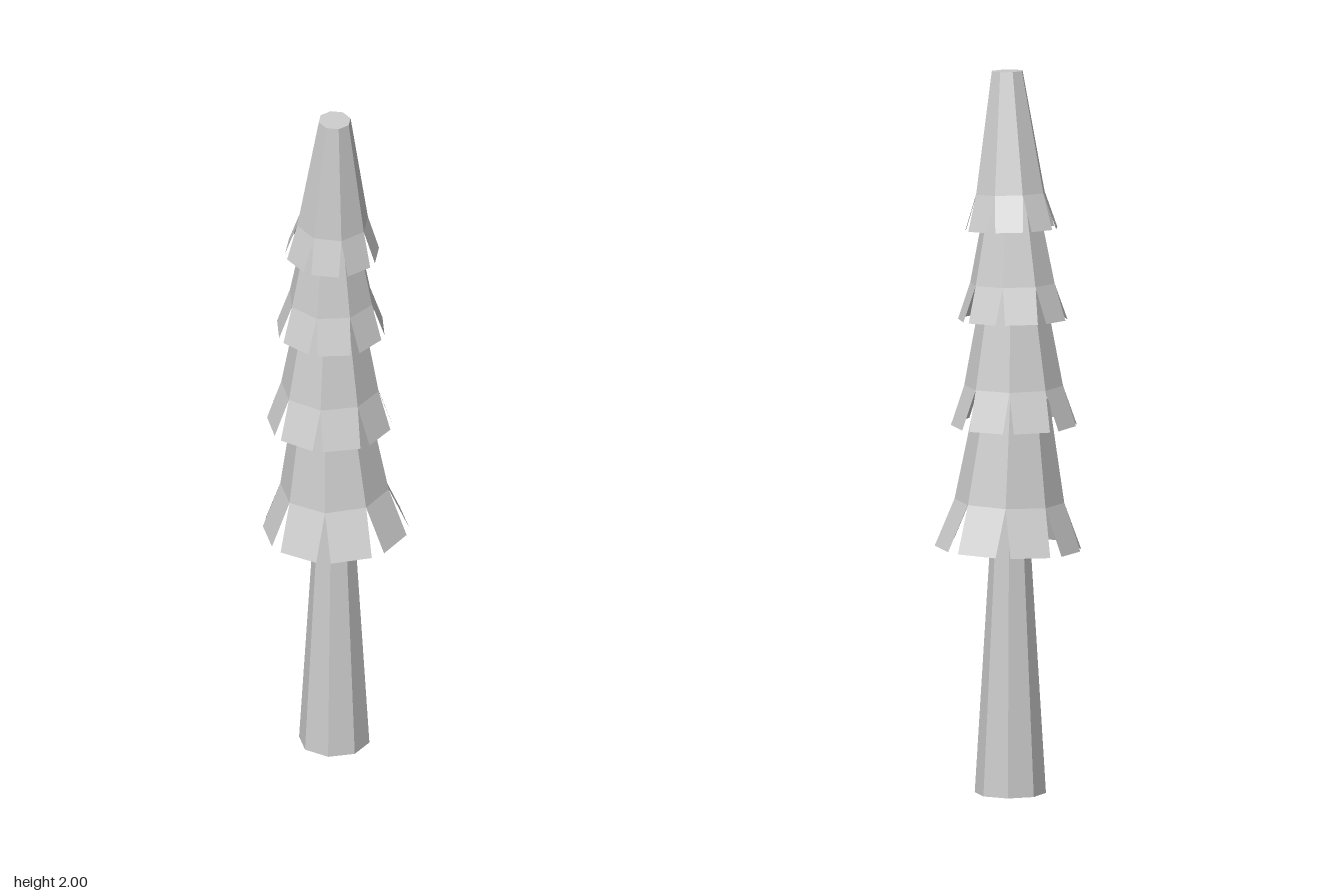
import * as THREE from 'three';
import { mergeGeometries } from 'three/addons/utils/BufferGeometryUtils.js';

const SIDES = 8;
const rad = THREE.MathUtils.degToRad;
const material = new THREE.MeshStandardMaterial({ color: 0xcccccc, flatShading: true, side: THREE.DoubleSide });

// Place a mesh built upwards from its origin along the line from a to b
function alignTo(object, a, b) {
  const dir = new THREE.Vector3().subVectors(b, a).normalize();
  object.position.copy(a);
  object.quaternion.setFromUnitVectors(new THREE.Vector3(0, 1, 0), dir);
}

// Tapered octagon; 'turn' is the direction (degrees from +x towards +z) one side faces
function taper(rTop, rBottom, y0, y1, turn) {
  const g = new THREE.CylinderGeometry(rTop, rBottom, y1 - y0, SIDES, 1, false, rad(90 - turn - 180 / SIDES));
  return g.translate(0, (y0 + y1) / 2, 0);
}

// One thin flap bending outwards from a side of the body
function flap(rBend, rOut, drop, turn) {
  const half = rBend * Math.sin(Math.PI / SIDES);
  const inner = rBend * Math.cos(Math.PI / SIDES);
  const g = new THREE.PlaneGeometry(2 * half, drop);
  const p = g.attributes.position;
  for (let i = 0; i < p.count; i++) {
    const top = p.getY(i) > 0;
    p.setY(i, top ? drop : 0);
    p.setZ(i, top ? inner : rOut);
  }
  g.rotateY(rad(90 - turn));
  g.computeVertexNormals();
  return g;
}

function foliageTier({ bottom, top, rTop, rBend, rOut, drop, turn }) {
  const a = new THREE.Vector3(...bottom);
  const b = new THREE.Vector3(...top);
  const parts = [taper(rTop, rBend, drop, a.distanceTo(b), turn)];
  for (let i = 0; i < SIDES; i++) parts.push(flap(rBend, rOut, drop, turn + i * 360 / SIDES));
  const mesh = new THREE.Mesh(mergeGeometries(parts), material);
  alignTo(mesh, a, b);
  return mesh;
}

export function createModel() {
  const tree = new THREE.Group();
  tree.name = 'tree';

  // Tapered trunk, running up into the lowest tier
  const trunk = new THREE.Mesh(taper(0.04, 0.098, 0, 0.95, 12), material);
  trunk.name = 'trunk';
  trunk.position.set(-0.01, 0, -0.011);
  tree.add(trunk);

  // Foliage tiers from lowest to highest, each leaning a little differently
  const tiers = [
    { bottom: [0, 0.68, 0.002], top: [-0.011, 1.1, 0.01], rTop: 0.1, rBend: 0.151, rOut: 0.193, drop: 0.13, turn: 12 },
    { bottom: [-0.013, 1.02, 0.016], top: [-0.01, 1.4, 0.02], rTop: 0.086, rBend: 0.136, rOut: 0.165, drop: 0.11, turn: 13 },
    { bottom: [-0.01, 1.314, 0.016], top: [-0.003, 1.65, 0.031], rTop: 0.072, rBend: 0.119, rOut: 0.145, drop: 0.1, turn: 21 },
    { bottom: [-0.003, 1.563, 0.026], top: [0.017, 1.997, 0.058], rTop: 0.045, rBend: 0.1, rOut: 0.125, drop: 0.1, turn: 33 },
  ];
  tiers.forEach((t, i) => {
    const mesh = foliageTier(t);
    mesh.name = `foliageTier${i + 1}`;
    tree.add(mesh);
  });
  return tree;
}
